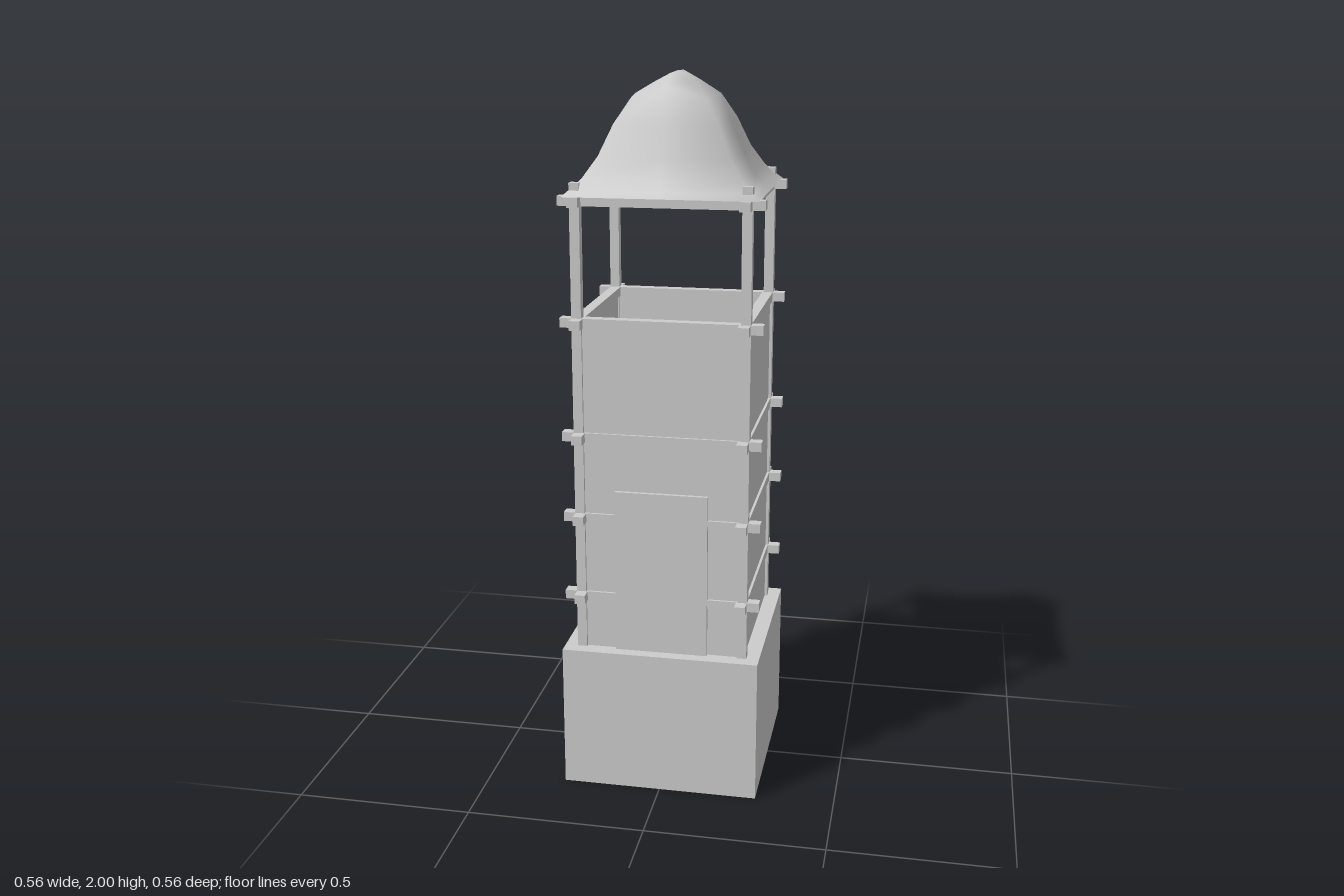
import * as THREE from 'three';

const material = new THREE.MeshStandardMaterial({ color: 0xcccccc });
const doubleSided = new THREE.MeshStandardMaterial({ color: 0xcccccc, side: THREE.DoubleSide });

function addBox(parent, name, [w, h, d], [x, y, z], mat = material) {
  const mesh = new THREE.Mesh(new THREE.BoxGeometry(w, h, d), mat);
  mesh.name = name;
  mesh.position.set(x, y, z);
  parent.add(mesh);
  return mesh;
}

// Hollow plinth, open underneath
function addBase(parent) {
  const base = addBox(parent, 'base', [0.556, 0.415, 0.556], [0, 0.2075, 0], doubleSided);
  const index = Array.from(base.geometry.index.array);
  index.splice(18, 6); // remove the bottom face
  base.geometry.setIndex(index);
  base.geometry.clearGroups();
}

// Swept hipped roof: stacked rings of eight points, closed by a short ridge
function addRoof(parent) {
  // corner x, corner z, corner y, side middle x, side middle y, end middle z, end middle y
  const rings = [
    [0.26, 0.26, 1.69, 0.258, 1.69, 0.258, 1.69],
    [0.243, 0.243, 1.705, 0.238, 1.705, 0.233, 1.705],
    [0.212, 0.218, 1.735, 0.212, 1.73, 0.215, 1.73],
    [0.175, 0.19, 1.79, 0.185, 1.785, 0.198, 1.785],
    [0.14, 0.16, 1.87, 0.15, 1.865, 0.172, 1.87],
    [0.1, 0.125, 1.935, 0.115, 1.94, 0.145, 1.968],
    [0.045, 0.085, 1.975, 0.05, 1.974, 0.095, 1.998],
  ];
  const positions = [];
  for (const [cx, cz, cy, mx, my, mz, ey] of rings) {
    positions.push(
      mx, my, 0, cx, cy, cz, 0, ey, mz, -cx, cy, cz,
      -mx, my, 0, -cx, cy, -cz, 0, ey, -mz, cx, cy, -cz);
  }
  const top = positions.length / 3;
  positions.push(0, 2, 0);
  const index = [];
  for (let r = 0; r < rings.length; r++) {
    for (let i = 0; i < 8; i++) {
      const a = r * 8 + i;
      const b = r * 8 + (i + 1) % 8;
      if (r === rings.length - 1) index.push(a, top, b);
      else index.push(a, a + 8, b, b, a + 8, b + 8);
    }
  }
  const geometry = new THREE.BufferGeometry();
  geometry.setAttribute('position', new THREE.Float32BufferAttribute(positions, 3));
  geometry.setIndex(index);
  geometry.computeVertexNormals();
  const roof = new THREE.Mesh(geometry, doubleSided);
  roof.name = 'roof';
  parent.add(roof);
}

export function createModel() {
  const tower = new THREE.Group();
  tower.name = 'watchtower';
  addBase(tower);

  // Corner posts, with their tips showing above the eaves
  for (const x of [-1, 1]) {
    for (const z of [-1, 1]) {
      addBox(tower, 'cornerPost', [0.027, 1.31, 0.027], [x * 0.2285, 1.07, z * 0.2285]);
    }
  }

  // Rings of crossing beams that overshoot the corners
  for (const y of [0.57, 0.803, 1.035, 1.353, 1.678]) {
    const ring = new THREE.Group();
    ring.name = 'beamRing';
    for (const side of [-1, 1]) {
      addBox(ring, 'crossBeam', [0.55, 0.026, 0.03], [0, y, side * 0.226]);
      addBox(ring, 'sideBeam', [0.03, 0.026, 0.55], [side * 0.226, y, 0]);
    }
    tower.add(ring);
  }

  // Wall panels set behind the posts, and the lookout floor
  for (const side of [-1, 1]) {
    addBox(tower, 'crossWall', [0.45, 0.945, 0.014], [0, 0.8875, side * 0.227]);
    addBox(tower, 'sideWall', [0.014, 0.945, 0.45], [side * 0.227, 0.8875, 0]);
  }
  addBox(tower, 'lookoutFloor', [0.45, 0.02, 0.45], [0, 1.15, 0]);

  // Door covering the two lower front beams
  addBox(tower, 'door', [0.26, 0.47, 0.02], [0, 0.65, 0.235]);

  addRoof(tower);
  return tower;
}
